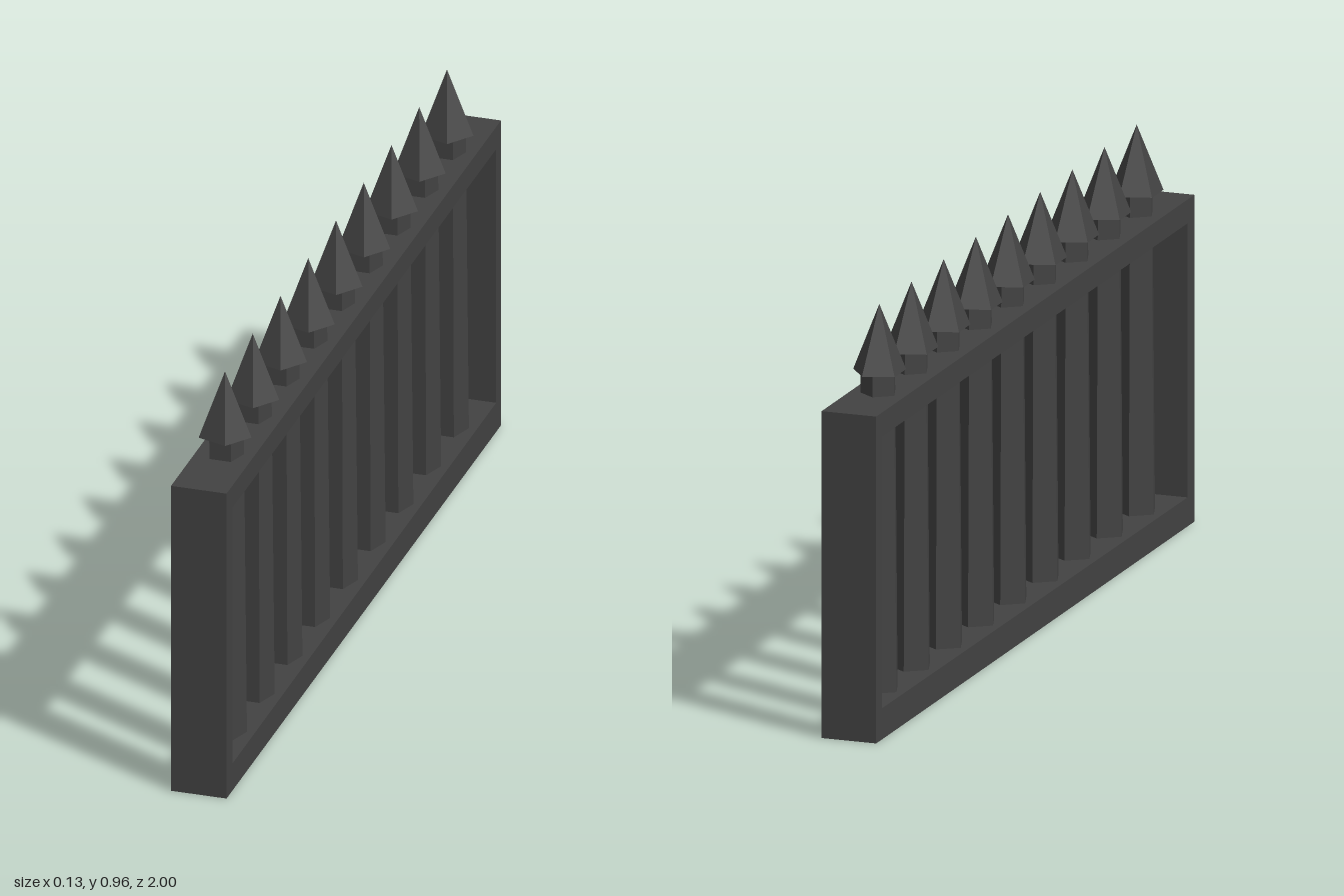
import * as THREE from 'three';

export function createModel() {
  const group = new THREE.Group();
  const iron = new THREE.MeshStandardMaterial({ color: 0x424242, flatShading: true });
  iron.name = 'darkIron';

  const add = (name, geometry, y = 0, z = 0) => {
    const mesh = new THREE.Mesh(geometry, iron);
    mesh.name = name;
    mesh.position.set(0, y, z);
    group.add(mesh);
  };

  // Frame: side outline with a slightly uneven opening, extruded across x
  const polygon = (points) => points.map(([z, y]) => new THREE.Vector2(z, y));
  const outline = new THREE.Shape(polygon([[-1, 0], [1, 0], [1, 0.755], [-1, 0.755]]));
  outline.holes.push(new THREE.Path(polygon([[-0.965, 0.072], [-0.965, 0.7], [0.957, 0.7], [0.957, 0.067]])));
  const width = 0.13;
  const frame = new THREE.ExtrudeGeometry(outline, { depth: width, bevelEnabled: false });
  frame.translate(0, 0, -width / 2).rotateY(-Math.PI / 2);
  add('frame', frame);

  // Tapered five-sided bars, flat side to the front, and five-sided spear tips
  const barBottom = 0.05, barTop = 0.81;
  const bar = new THREE.CylinderGeometry(0.042, 0.049, barTop - barBottom, 5).rotateY(Math.PI);
  const tipBottom = 0.805, tipTop = 0.96;
  const tip = new THREE.ConeGeometry(0.062, tipTop - tipBottom, 5).rotateY(Math.PI / 2);

  const count = 9, spacing = 0.2022;
  for (let i = 0; i < count; i++) {
    const z = (i - (count - 1) / 2) * spacing;
    add('bar', bar, (barBottom + barTop) / 2, z);
    add('spearTip', tip, (tipBottom + tipTop) / 2, z);
  }
  return group;
}
